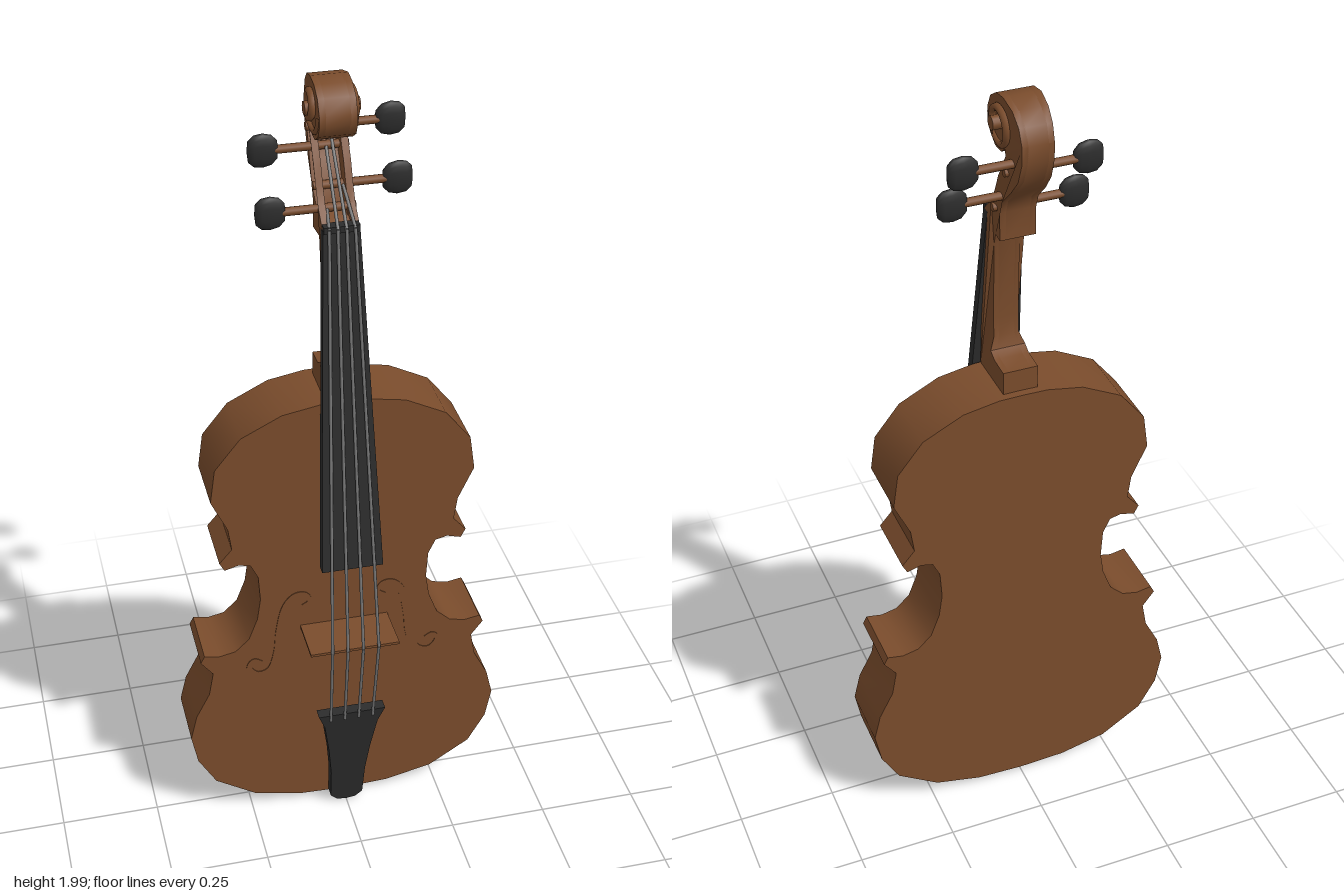
import * as THREE from 'three';
import { toCreasedNormals } from 'three/addons/utils/BufferGeometryUtils.js';

const wood = new THREE.MeshStandardMaterial({ color: 0x7a4c2c });
wood.name = 'varnishedWood';
const ebony = new THREE.MeshStandardMaterial({ color: 0x2c2c2c });
ebony.name = 'ebony';
const steel = new THREE.MeshStandardMaterial({ color: 0x777777 });
steel.name = 'stringSteel';

const vec = (x, y, z) => new THREE.Vector3(x, y, z);

function add(parent, name, geometry, material) {
  const mesh = new THREE.Mesh(geometry, material);
  mesh.name = name;
  parent.add(mesh);
  return mesh;
}

function extrude(points, depth, offset = 0) {
  const shape = new THREE.Shape(points.map(([x, y]) => new THREE.Vector2(x, y)));
  return new THREE.ExtrudeGeometry(shape, { depth, bevelEnabled: false }).translate(0, 0, offset);
}

// Closed outline from its right half, listed bottom to top
const mirrored = (half) => [...half, ...half.filter((p) => p[0] > 0).reverse().map(([x, y]) => [-x, y])];

// Move every vertex by a rule, then recompute normals with sharp edges
function bend(geometry, rule, crease = 0.6) {
  const p = geometry.attributes.position;
  const v = vec(0, 0, 0);
  for (let i = 0; i < p.count; i++) {
    v.fromBufferAttribute(p, i);
    rule(v);
    p.setXYZ(i, v.x, v.y, v.z);
  }
  geometry.computeVertexNormals();
  return toCreasedNormals(geometry, crease);
}

// Round rod between two points
function rod(a, b, r, sides = 8) {
  const d = b.clone().sub(a);
  const g = new THREE.CylinderGeometry(r, r, d.length(), sides);
  g.applyQuaternion(new THREE.Quaternion().setFromUnitVectors(vec(0, 1, 0), d.normalize()));
  return g.translate(...a.clone().add(b).multiplyScalar(0.5).toArray());
}

// Side profile [z, y] extruded across x
const sideways = (profile, x0, x1) =>
  extrude(profile.map(([z, y]) => [-z, y]), x1 - x0, x0).rotateY(Math.PI / 2);

export function createModel() {
  const model = new THREE.Group();
  model.name = 'stringInstrument';

  // Body
  const bodyHalf = [
    [0, 0.02], [0.12, 0.025], [0.24, 0.052], [0.345, 0.12], [0.39, 0.2], [0.405, 0.28],
    [0.388, 0.35], [0.352, 0.42], [0.34, 0.485], [0.37, 0.525], [0.36, 0.545], [0.32, 0.538],
    [0.28, 0.547], [0.245, 0.58], [0.222, 0.64], [0.213, 0.7], [0.217, 0.77], [0.235, 0.808],
    [0.265, 0.815], [0.3, 0.805], [0.312, 0.828], [0.28, 0.865], [0.288, 0.925], [0.327, 1.01],
    [0.314, 1.1], [0.25, 1.18], [0.15, 1.23], [0.06, 1.246], [0, 1.247],
  ];
  add(model, 'body', toCreasedNormals(extrude(mirrored(bodyHalf), 0.165, -0.11), 0.6), wood);

  // Sound holes: thin curled plates on the front
  const holePath = new THREE.SplineCurve([
    [0.215, 0.5], [0.235, 0.51], [0.247, 0.488], [0.225, 0.463], [0.19, 0.475], [0.172, 0.53],
    [0.166, 0.59], [0.152, 0.66], [0.128, 0.695], [0.1, 0.697], [0.088, 0.675], [0.105, 0.662],
  ].map(([x, y]) => new THREE.Vector2(x, y)));
  for (const side of [1, -1]) {
    const left = [], right = [];
    for (let i = 0; i <= 40; i++) {
      const t = i / 40, p = holePath.getPoint(t), d = holePath.getTangent(t);
      const w = 0.005 + 0.006 * Math.sin(Math.PI * t) ** 2;
      left.push([side * (p.x - d.y * w), p.y + d.x * w]);
      right.push([side * (p.x + d.y * w), p.y - d.x * w]);
    }
    add(model, 'soundHole', extrude([...left, ...right.reverse()], 0.003, 0.054), wood);
  }

  // Neck, pegbox and scroll: two cheeks around a core with a sunken pegbox
  const back = [
    [0.055, 1.24], [-0.09, 1.24], [-0.09, 1.305], [-0.035, 1.308], [-0.012, 1.32], [-0.002, 1.35],
    [0, 1.4], [-0.005, 1.6], [-0.015, 1.63], [-0.07, 1.645], [-0.07, 1.715], [-0.082, 1.748],
    [-0.125, 1.79], [-0.162, 1.835], [-0.18, 1.885], [-0.18, 1.925], [-0.165, 1.962], [-0.135, 1.988],
    [-0.09, 2], [-0.05, 1.994], [-0.018, 1.974], [0, 1.94], [0, 1.915], [-0.015, 1.887],
    [-0.045, 1.868], [-0.08, 1.87], [-0.1, 1.886],
  ];
  const cheek = [...back, [-0.103, 1.87], [-0.085, 1.84], [-0.062, 1.805], [-0.042, 1.76],
    [-0.02, 1.72], [0.015, 1.69], [0.028, 1.67]];
  const core = [...back, [-0.125, 1.865], [-0.115, 1.835], [-0.09, 1.8], [-0.062, 1.755],
    [-0.045, 1.7], [0.01, 1.685], [0.028, 1.67]];
  const taper = (v) => {
    if (v.y > 1.33 && v.y < 1.635 && v.z < 0.01) v.x *= 0.72;
    if (v.z < -0.1 && v.y > 1.7) v.x *= 1 - 1.8 * (-0.1 - v.z);
  };
  const neck = new THREE.Group();
  neck.name = 'neckAndScroll';
  model.add(neck);
  add(neck, 'neckCore', bend(sideways(core, -0.028, 0.028), taper), wood);
  add(neck, 'rightCheek', bend(sideways(cheek, -0.043, -0.026), taper), wood);
  add(neck, 'leftCheek', bend(sideways(cheek, 0.026, 0.043), taper), wood);

  // Scroll spiral and eye on both sides
  for (const side of [1, -1]) {
    const turns = [];
    for (let i = 0; i <= 24; i++) {
      const t = i / 24, a = Math.PI * (1 + 2.6 * t), r = 0.058 - 0.04 * t;
      turns.push(vec(side * (0.039 + 0.014 * t), 1.935 + r * Math.sin(a), -0.07 - r * Math.cos(a)));
    }
    add(neck, 'scrollSpiral', new THREE.TubeGeometry(new THREE.CatmullRomCurve3(turns), 60, 0.009, 6), wood);
    add(neck, 'scrollEye', rod(vec(side * 0.03, 1.935, -0.068), vec(side * 0.063, 1.935, -0.068), 0.016, 14), wood);
  }

  // Fingerboard, widening and rising toward the bridge
  const board = extrude([[-0.076, 0.825], [0.076, 0.825], [0.043, 1.68], [-0.043, 1.68]], 0.024);
  add(model, 'fingerboard', bend(board, (v) => { v.z += 0.122 - (v.y - 0.825) * 0.138; }), ebony);
  add(model, 'nut', new THREE.BoxGeometry(0.084, 0.016, 0.026).translate(0, 1.683, 0.021), ebony);

  // Tailpiece
  const tailHalf = [[0, 0.008], [0.025, 0.012], [0.043, 0.03], [0.046, 0.13], [0.055, 0.22],
    [0.07, 0.32], [0.087, 0.365], [0, 0.365]];
  const tail = extrude(mirrored(tailHalf), 0.03);
  add(model, 'tailpiece', bend(tail, (v) => { v.z += 0.055 + (v.y - 0.01) * 0.175; }), ebony);

  // Bridge
  add(model, 'bridge', new THREE.BoxGeometry(0.226, 0.007, 0.124).translate(0, 0.597, 0.115), wood);

  // Tuning pegs [side, y, z] and the strings that end on them
  const pegs = [[-1, 1.71, -0.03], [-1, 1.83, -0.1], [1, 1.865, -0.13], [1, 1.752, -0.06]];
  pegs.forEach(([side, y, z], i) => {
    const peg = new THREE.Group();
    peg.name = 'tuningPeg';
    model.add(peg);
    add(peg, 'pegShaft', rod(vec(side * -0.046, y, z), vec(side * 0.125, y, z), 0.01, 12), wood);
    const knob = new THREE.LatheGeometry([[0, -0.035], [0.022, -0.033], [0.036, -0.02], [0.041, 0],
      [0.038, 0.02], [0.026, 0.033], [0, 0.036]].map(([r, h]) => new THREE.Vector2(r, h)), 16);
    knob.scale(1, 1, 0.34).rotateZ(-side * Math.PI / 2).translate(side * 0.15, y, z);
    add(peg, 'pegHead', knob, ebony);

    const u = (i - 1.5) / 1.5;
    const path = [vec(u * 0.055, 0.345, 0.143), vec(u * 0.059, 0.599, 0.181),
      vec(u * 0.03, 1.685, 0.036), vec(u * 0.022, y, z + 0.01)];
    for (let k = 0; k < 3; k++) add(model, 'string', rod(path[k], path[k + 1], 0.004), steel);
  });

  return model;
}
